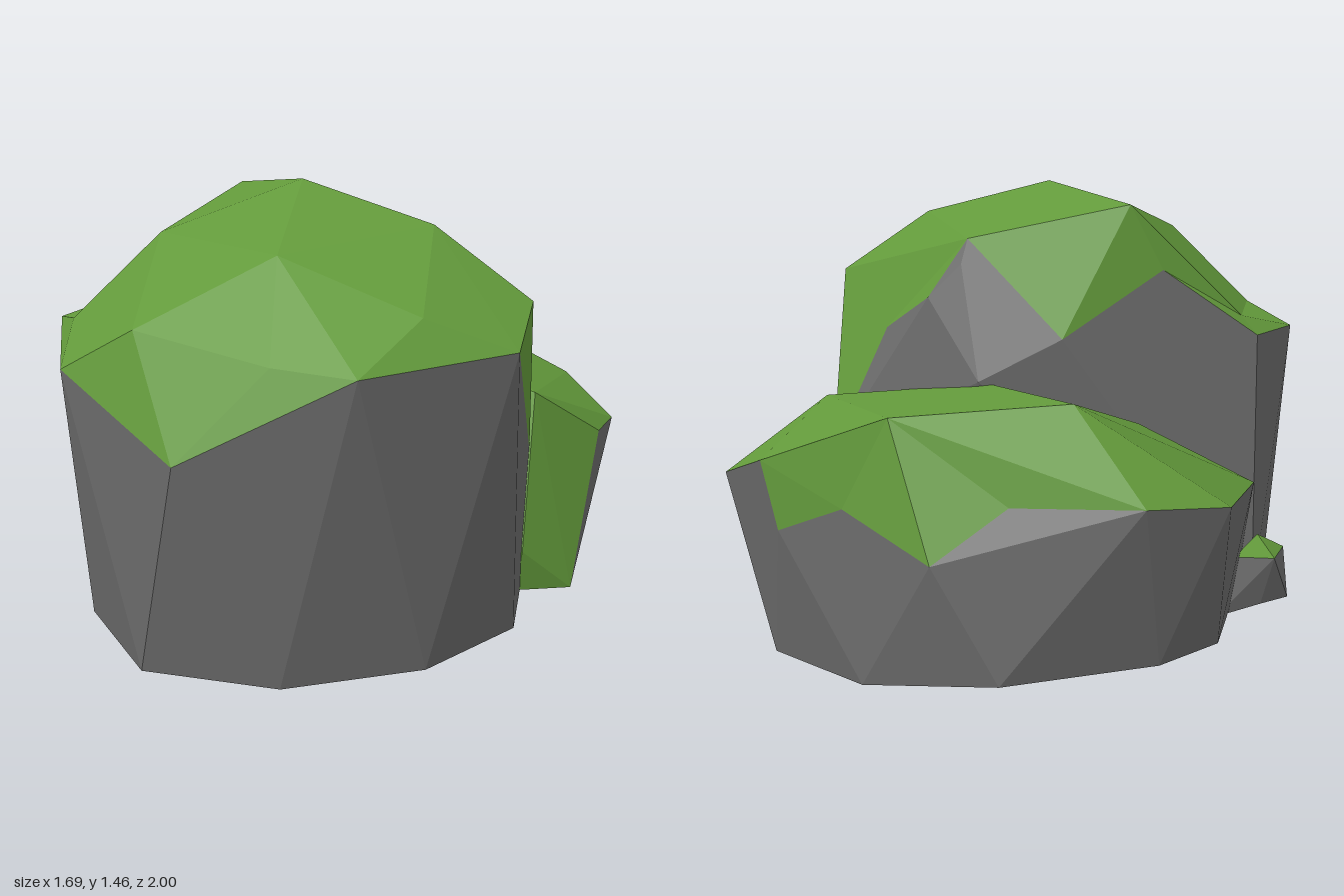
import * as THREE from 'three';
import { ConvexGeometry } from 'three/addons/geometries/ConvexGeometry.js';

const rockGray = new THREE.MeshStandardMaterial({ color: 0x6b6b6b, flatShading: true, side: THREE.DoubleSide });
rockGray.name = 'rock gray';
const mossGreen = new THREE.MeshStandardMaterial({ color: 0x639a3b, flatShading: true, side: THREE.DoubleSide });
mossGreen.name = 'moss green';

const keyOf = (x, y, z) => [x, y, z].map((v) => Math.round(v * 1000)).join();

function facesMesh(name, positions, material) {
  const geometry = new THREE.BufferGeometry();
  geometry.setAttribute('position', new THREE.Float32BufferAttribute(positions, 3));
  geometry.computeVertexNormals();
  const mesh = new THREE.Mesh(geometry, material);
  mesh.name = name;
  return mesh;
}

// Faceted boulder, open underneath: a face is mossy when it touches a moss corner and no
// bare corner. Rim corners lie on the border. Dents pull a corner inwards: [from, to].
function boulder(name, { moss, rim, bare, dents = [] }) {
  const kind = new Map();
  moss.forEach((p) => kind.set(keyOf(...p), 'moss'));
  rim.forEach((p) => kind.set(keyOf(...p), 'rim'));
  bare.forEach((p) => kind.set(keyOf(...p), 'bare'));
  const dentOf = new Map(dents.map(([from, to]) => [keyOf(...from), to]));

  const corners = [...moss, ...rim, ...bare].map((p) => new THREE.Vector3(...p));
  const hull = new ConvexGeometry(corners);
  const pos = hull.getAttribute('position');
  const normal = hull.getAttribute('normal');
  const mossFaces = [];
  const rockFaces = [];
  for (let i = 0; i < pos.count; i += 3) {
    if (normal.getY(i) < -0.55) continue; // open underside
    const face = [];
    const kinds = [];
    for (let j = i; j < i + 3; j++) {
      const p = [pos.getX(j), pos.getY(j), pos.getZ(j)];
      const key = keyOf(...p);
      face.push(...(dentOf.get(key) ?? p));
      kinds.push(kind.get(key));
    }
    const mossy = kinds.includes('moss') && !kinds.includes('bare');
    (mossy ? mossFaces : rockFaces).push(...face);
  }

  const group = new THREE.Group();
  group.name = name;
  group.add(facesMesh(name + 'Stone', rockFaces, rockGray));
  group.add(facesMesh(name + 'Moss', mossFaces, mossGreen));
  return group;
}

export function createModel() {
  const model = new THREE.Group();
  model.name = 'mossyRocks';

  // Tall boulder at the front, its hidden back ending above the ground
  model.add(boulder('tallBoulder', {
    moss: [
      [0.02, 1.46, 0.18], [0.47, 1.35, 0.19], [0.79, 1.14, 0.18], [0.6, 1.16, 0.6],
      [0.14, 1.3, 0.6], [0.25, 1.04, 0.87], [-0.22, 1.09, 0.83], [-0.6, 1.12, 0.57],
      [-0.36, 1.3, 0.42], [-0.34, 1.39, -0.09], [0.17, 1.28, -0.22], [-0.64, 1.18, 0.15],
    ],
    rim: [
      [0.84, 1.05, 0.45], [0.51, 1.03, 0.85], [0, 0.75, 1], [-0.5, 0.93, 0.8],
      [-0.79, 0.97, 0.36], [-0.72, 0.96, 0.12], [-0.46, 1.19, -0.1],
      [-0.18, 1.0, -0.34], [0.29, 1.09, -0.27], [0.54, 1.0, -0.16], [0.74, 0.55, -0.16],
    ],
    bare: [
      [0.18, 1.2, -0.255], [0.07, 0.84, -0.4], [-0.74, 0.07, 0.15], [-0.55, 0.04, 0.6],
      [-0.19, 0.03, 0.89], [0.25, 0.03, 0.82], [0.61, 0.05, 0.55], [0.75, 0.04, 0.13],
      [0.71, 0.1, -0.05], [0.5, 0.28, -0.12], [0.1, 0.3, -0.22], [-0.45, 0.38, -0.12],
      [-0.74, 0.09, 0],
    ],
    dents: [
      [[-0.6, 1.12, 0.57], [-0.6, 1.03, 0.57]],
      [[-0.64, 1.18, 0.15], [-0.66, 1.02, 0.15]],
      [[-0.46, 1.19, -0.1], [-0.44, 1.18, -0.05]],
      [[-0.18, 1.0, -0.34], [-0.17, 0.97, -0.28]],
      [[0.54, 1.0, -0.16], [0.5, 0.97, -0.12]],
      [[0.74, 0.55, -0.16], [0.69, 0.55, -0.16]],
    ],
  }));

  // Low, wide boulder at the back
  model.add(boulder('lowBoulder', {
    moss: [
      [0.17, 0.8, -0.89], [-0.34, 0.84, -0.72], [0.61, 0.64, -0.84], [0.06, 0.52, -0.96],
      [0.69, 0.74, -0.2], [0.72, 0.24, -0.03], [0.05, 0.83, -0.36], [-0.4, 0.7, -0.2],
    ],
    rim: [
      [0, 0.4, -1], [0.31, 0.52, -0.93], [0.55, 0.43, -0.85], [-0.2, 0.56, -0.92],
      [-0.59, 0.57, -0.84], [-0.79, 0.55, -0.64], [-0.74, 0.49, 0], [0.84, 0.55, -0.64],
      [0.84, 0.55, -0.47], [0.84, 0.07, -0.2], [0.7, 0.1, -0.03], [0.2, 0.1, 0.02],
      [-0.37, 0.1, 0.02], [-0.68, 0.1, 0],
    ],
    bare: [
      [0.64, 0, -0.71], [0.25, 0, -0.92], [-0.2, 0.06, -0.98], [-0.6, 0.08, -0.71],
      [-0.72, 0.08, -0.45],
    ],
    dents: [
      [[0.2, 0.1, 0.02], [0.26, 0.1, -0.2]],
      [[-0.37, 0.1, 0.02], [-0.37, 0.33, -0.2]],
      [[-0.2, 0.56, -0.92], [-0.2, 0.56, -0.89]],
      [[0.31, 0.52, -0.93], [0.32, 0.52, -0.89]],
      [[0.06, 0.52, -0.96], [0.06, 0.5, -0.94]],
    ],
  }));

  // Small stone at the side
  model.add(boulder('smallStone', {
    moss: [[-0.75, 0.31, 0.03], [-0.73, 0.2, 0.16]],
    rim: [
      [-0.82, 0.25, -0.04], [-0.82, 0.25, 0.13], [-0.7, 0.26, -0.1], [-0.73, 0.1, 0.15],
      [-0.6, 0.1, 0.12],
    ],
    bare: [[-0.85, 0.1, 0.05], [-0.78, 0.1, -0.06], [-0.66, 0.08, -0.18]],
  }));

  return model;
}
